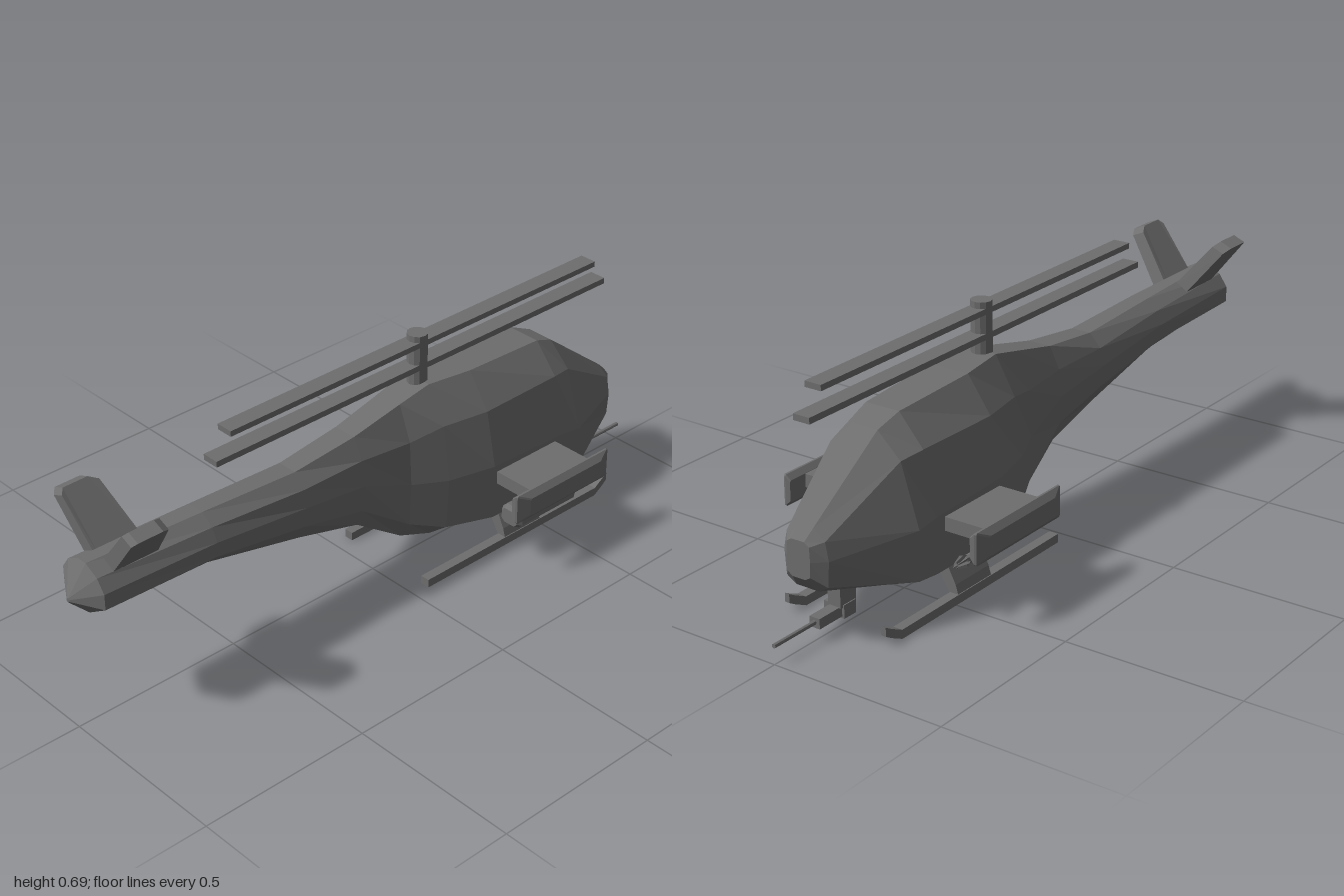
import * as THREE from 'three';

const material = new THREE.MeshStandardMaterial({ color: 0x6e6e6e, flatShading: true });

// Closed skin over rings of [x, y, z] points, counter-clockwise seen from +z, ordered by rising z
function loft(rings) {
  const n = rings[0].length;
  const pos = [];
  const tri = (a, b, c) => pos.push(...a, ...b, ...c);
  for (let i = 0; i < rings.length - 1; i++) {
    for (let j = 0; j < n; j++) {
      const k = (j + 1) % n;
      tri(rings[i][j], rings[i][k], rings[i + 1][k]);
      tri(rings[i][j], rings[i + 1][k], rings[i + 1][j]);
    }
  }
  const first = rings[0], last = rings[rings.length - 1];
  for (let j = 1; j < n - 1; j++) {
    tri(first[0], first[j + 1], first[j]);
    tri(last[0], last[j], last[j + 1]);
  }
  const g = new THREE.BufferGeometry();
  g.setAttribute('position', new THREE.Float32BufferAttribute(pos, 3));
  g.computeVertexNormals();
  return g;
}

function add(parent, name, geometry, x = 0, y = 0, z = 0) {
  const m = new THREE.Mesh(geometry, material);
  m.name = name;
  m.position.set(x, y, z);
  parent.add(m);
  return m;
}

// Box given by its limits on each axis
function block(parent, name, x0, x1, y0, y1, z0, z1) {
  return add(parent, name, new THREE.BoxGeometry(x1 - x0, y1 - y0, z1 - z0),
    (x0 + x1) / 2, (y0 + y1) / 2, (z0 + z1) / 2);
}

// Rectangle with cut corners, centred on x, y
function octagon(cx, cy, w, h, c, z) {
  return [[w, -h + c], [w, h - c], [w - c, h], [-w + c, h], [-w, h - c], [-w, -h + c], [-w + c, -h], [w - c, -h]]
    .map(([x, y]) => [cx + x, cy + y, z]);
}

// Eight-pointed star outline for the missile fins
function star(radius, z) {
  return Array.from({ length: 16 }, (_, i) => {
    const a = i * Math.PI / 8, r = i % 2 ? radius * 0.5 : radius;
    return [r * Math.cos(a), r * Math.sin(a), z];
  });
}

// Prism along z from an x, y outline
function prism(points, z0, z1) {
  return loft([z0, z1].map(z => points.map(([x, y]) => [x, y, z])));
}

// Mirror an x, y outline while keeping its turning direction
const flip = (points, s) => (s > 0 ? points : points.map(([x, ...r]) => [-x, ...r]).reverse());

export function createModel() {
  const model = new THREE.Group();
  model.name = 'helicopter';

  // Fuselage half sections: z, then x, y of keel, lower, middle, upper and roof edges
  const sections = [
    [-0.90, 0.020, 0.190, 0.035, 0.200, 0.037, 0.240, 0.035, 0.280, 0.020, 0.290],
    [-0.87, 0.035, 0.152, 0.065, 0.170, 0.070, 0.240, 0.060, 0.290, 0.025, 0.318],
    [-0.64, 0.050, 0.080, 0.160, 0.120, 0.164, 0.260, 0.110, 0.430, 0.040, 0.495],
    [-0.57, 0.055, 0.076, 0.164, 0.115, 0.165, 0.270, 0.125, 0.440, 0.052, 0.524],
    [-0.30, 0.060, 0.072, 0.164, 0.115, 0.165, 0.280, 0.130, 0.440, 0.060, 0.539],
    [-0.16, 0.055, 0.072, 0.122, 0.125, 0.130, 0.280, 0.105, 0.440, 0.045, 0.545],
    [-0.06, 0.045, 0.105, 0.081, 0.160, 0.087, 0.290, 0.080, 0.420, 0.040, 0.522],
    [0.10, 0.045, 0.215, 0.068, 0.270, 0.074, 0.350, 0.065, 0.425, 0.035, 0.486],
    [0.30, 0.040, 0.265, 0.070, 0.315, 0.076, 0.375, 0.065, 0.425, 0.030, 0.463],
    [0.60, 0.035, 0.328, 0.075, 0.365, 0.080, 0.410, 0.062, 0.447, 0.025, 0.475],
    [0.95, 0.015, 0.337, 0.083, 0.380, 0.083, 0.425, 0.058, 0.460, 0.015, 0.483],
    [1.00, 0.002, 0.385, 0.004, 0.388, 0.004, 0.392, 0.003, 0.394, 0.002, 0.396],
  ];
  add(model, 'fuselage', loft(sections.map(([z, ...p]) => {
    const half = [0, 2, 4, 6, 8].map(i => [p[i], p[i + 1], z]);
    return [...half, ...flip(half, -1)];
  })));

  // Mast and the two stacked rotors
  add(model, 'rotorMast', new THREE.CylinderGeometry(0.029, 0.029, 0.185, 12), 0, 0.593, -0.16);
  block(model, 'lowerRotorBlades', -0.025, 0.025, 0.583, 0.600, -0.87, 0.548);
  block(model, 'upperRotorBlades', -0.025, 0.025, 0.652, 0.668, -0.825, 0.5);

  for (const s of [1, -1]) {
    const side = s > 0 ? 'left' : 'right';

    // Swept V tail fin, tapering along its front edge, with a trimmed tip
    const fin = (z, zTip, trim) => flip(
      [[0.045, 0.44, z], [0.165 - trim, 0.592 - trim, zTip], [0.13 - trim, 0.607 - trim, zTip], [0.01, 0.462, z]], s);
    add(model, side + 'TailFin', loft([fin(0.76, 0.80, 0.012), fin(0.775, 0.825, 0), fin(0.89, 0.9, 0), fin(0.9, 0.912, 0.012)]));

    // Stub wing with bevelled end plate
    const x = (a, b) => [Math.min(s * a, s * b), Math.max(s * a, s * b)];
    block(model, side + 'Wing', ...x(0.10, 0.29), 0.222, 0.26, -0.54, -0.31);
    const plate = add(model, side + 'WingEndPlate', loft([
      octagon(0, 0, 0.178, 0.030, 0.004, -0.017),
      octagon(0, 0, 0.180, 0.044, 0.004, -0.003),
      octagon(0, 0, 0.178, 0.044, 0.004, 0.003),
      octagon(0, 0, 0.140, 0.027, 0.004, 0.017),
    ]), s * 0.303, 0.231, -0.422);
    plate.rotation.y = s * Math.PI / 2;

    // Landing skid with narrowing upturned toe and a wide slanted leg
    block(model, side + 'Skid', ...x(0.14, 0.168), 0, 0.025, -0.72, -0.05);
    const bar = (z, y, inset) => flip([[0.168 - inset, y], [0.168 - inset, y + 0.025],
      [0.14 + inset, y + 0.025], [0.14 + inset, y]], s).map(([px, py]) => [px, py, z]);
    add(model, side + 'SkidToe', loft([bar(-0.775, 0.027, 0.007), bar(-0.755, 0.016, 0.004), bar(-0.72, 0, 0)]));
    add(model, side + 'SkidLeg', prism(flip(
      [[0.14, 0.02], [0.167, 0.02], [0.158, 0.05], [0.12, 0.125], [0.08, 0.125], [0.10, 0.085]], s), -0.49, -0.35));

    // Hanger under the wing
    block(model, side + 'Pylon', ...x(0.211, 0.238), 0.17, 0.225, -0.49, -0.35);
  }

  // Left store: chamfered launcher box
  add(model, 'launcherPod', loft([
    octagon(0.225, 0.144, 0.028, 0.022, 0.010, -0.535),
    octagon(0.225, 0.144, 0.037, 0.029, 0.014, -0.52),
    octagon(0.225, 0.144, 0.037, 0.029, 0.014, -0.315),
    octagon(0.225, 0.144, 0.028, 0.022, 0.010, -0.30),
  ]));

  // Right store: slim missile with two sets of swept fins
  const missile = new THREE.Group();
  missile.name = 'missile';
  missile.position.set(-0.226, 0.157, 0);
  model.add(missile);
  const profile = [[0, 0.26], [0.012, 0.26], [0.012, 0.54], [0, 0.592]].map(p => new THREE.Vector2(...p));
  add(missile, 'missileBody', new THREE.LatheGeometry(profile, 8)).rotation.x = -Math.PI / 2;
  add(missile, 'missileNoseFins', loft([star(0.009, -0.575), star(0.018, -0.545), star(0.009, -0.525)]));
  add(missile, 'missileTailFins', loft([star(0.009, -0.35), star(0.018, -0.29), star(0.018, -0.265), star(0.009, -0.27)]));

  // Chin gun
  block(model, 'gunMount', -0.02, 0.02, 0.06, 0.13, -0.775, -0.715);
  block(model, 'gunTurret', -0.023, 0.022, 0.03, 0.067, -0.765, -0.72);
  block(model, 'gunBody', -0.016, 0.016, 0.035, 0.063, -0.85, -0.76);
  block(model, 'ammoBox', 0.02, 0.042, 0.033, 0.063, -0.765, -0.72);
  add(model, 'gunBarrel', new THREE.CylinderGeometry(0.006, 0.006, 0.16, 8), 0, 0.05, -0.92)
    .rotation.x = Math.PI / 2;

  return model;
}
